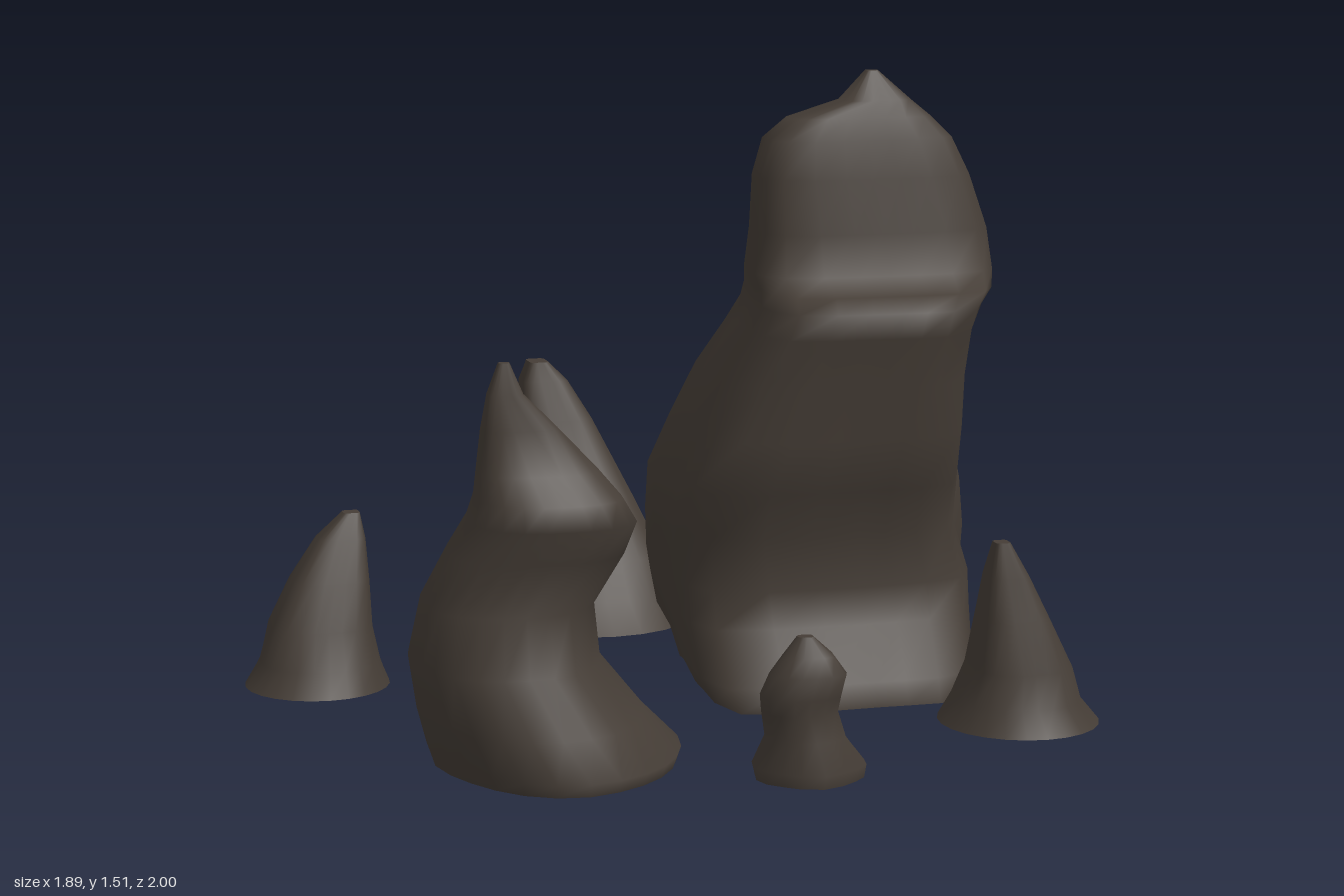
import * as THREE from 'three';

const stone = new THREE.MeshStandardMaterial({ color: 0x453d36 });
stone.name = 'dark stone';

// Lofts a rock through rings [y, xMin, xMax, zMin, zMax, cut].
// cut slants the right side inwards towards the front of that ring.
// square: outline power at the bottom and top (2 = oval, larger = boxier).
// rough: strength of the ridges; hollow: height of the dent under the base;
// lift: how far the back left corner of the base rises off the ground.
function rock(name, rings, { sides = 24, square = [2, 2], rough = 0, seed = 0, hollow = 0, lift = 0 } = {}) {
  const pos = [], index = [];
  const bottom = rings[0][0], height = rings[rings.length - 1][0] - bottom;
  const addRing = ([y, x0, x1, z0, z1, cut = 0]) => {
    const start = pos.length / 3;
    const power = THREE.MathUtils.lerp(square[0], square[1], (y - bottom) / height);
    const fade = Math.max(0, 1 - (y - bottom) / 0.35);
    for (let i = 0; i < sides; i++) {
      const t = (i / sides) * Math.PI * 2;
      const c = Math.cos(t), s = Math.sin(t);
      const round = Math.pow(Math.abs(c) ** power + Math.abs(s) ** power, -1 / power);
      const ridge = 1 + rough * (Math.sin(3 * t + 5 * y + seed) + 0.7 * Math.sin(5 * t - 8 * y + seed * 2));
      const r = round * ridge;
      const slant = c > 0 ? 1 - cut * (s * r + 1) / 2 : 1;
      const raise = lift * fade * 2 * Math.max(0, -c) * Math.max(0, -s);
      pos.push((x0 + x1) / 2 + c * r * slant * (x1 - x0) / 2, y + raise, (z0 + z1) / 2 + s * r * (z1 - z0) / 2);
    }
    return start;
  };
  const addCap = (ring, up) => {
    const start = addRing(ring);
    const centre = pos.length / 3;
    pos.push((ring[1] + ring[2]) / 2, ring[0] + (up ? 0 : hollow), (ring[3] + ring[4]) / 2);
    for (let i = 0; i < sides; i++) {
      const a = start + i, b = start + (i + 1) % sides;
      index.push(centre, up ? b : a, up ? a : b);
    }
  };
  const starts = rings.map(addRing);
  for (let j = 0; j + 1 < rings.length; j++) {
    for (let i = 0; i < sides; i++) {
      const k = (i + 1) % sides;
      const a = starts[j] + i, b = starts[j] + k, c = starts[j + 1] + i, d = starts[j + 1] + k;
      index.push(a, c, b, b, c, d);
    }
  }
  addCap(rings[0], false);
  addCap(rings[rings.length - 1], true);
  const geo = new THREE.BufferGeometry();
  geo.setAttribute('position', new THREE.Float32BufferAttribute(pos, 3));
  geo.setIndex(index);
  geo.computeVertexNormals();
  const mesh = new THREE.Mesh(geo, stone);
  mesh.name = name;
  return mesh;
}

export function createModel() {
  const group = new THREE.Group();
  group.name = 'rock spires';

  // Large rock: broad body, ledge, then a narrower spire
  group.add(rock('largeRock', [
    [0, 0.13, 0.87, -0.34, 0.37, 0.28],
    [0.06, 0.10, 0.88, -0.36, 0.36, 0.28],
    [0.18, 0.09, 0.91, -0.37, 0.26, 0.3],
    [0.27, 0.08, 0.91, -0.37, 0.245, 0.3],
    [0.40, 0.07, 0.88, -0.34, 0.25, 0.35],
    [0.52, 0.07, 0.87, -0.32, 0.31, 0.35],
    [0.65, 0.12, 0.86, -0.29, 0.35, 0.35],
    [0.78, 0.17, 0.84, -0.24, 0.36, 0.32],
    [0.90, 0.23, 0.81, -0.18, 0.40, 0.25],
    [0.96, 0.25, 0.82, -0.13, 0.40, 0.22],
    [0.995, 0.255, 0.84, -0.11, 0.36, 0.15],
    [1.03, 0.255, 0.845, -0.09, 0.26, 0.05],
    [1.13, 0.26, 0.82, -0.06, 0.24],
    [1.26, 0.26, 0.78, -0.02, 0.22],
    [1.35, 0.28, 0.74, 0.02, 0.20],
    [1.40, 0.34, 0.69, 0.04, 0.18],
    [1.44, 0.47, 0.64, 0.06, 0.165],
    [1.51, 0.53, 0.56, 0.10, 0.125],
  ], { square: [7, 3.5], rough: 0.014, seed: 1, hollow: 0.14, lift: 0.13 }));

  // Pointed slab leaning on the back of the large rock
  group.add(rock('backSlab', [
    [0.01, 0.16, 0.87, -0.365, -0.05, 0.1],
    [0.18, 0.11, 0.91, -0.385, -0.04, 0.12],
    [0.33, 0.11, 0.92, -0.41, -0.04, 0.12],
    [0.45, 0.15, 0.91, -0.425, -0.04, 0.12],
    [0.60, 0.21, 0.88, -0.425, -0.06, 0.1],
    [0.78, 0.31, 0.83, -0.425, -0.10, 0.05],
    [0.91, 0.41, 0.75, -0.425, -0.19],
    [1.02, 0.49, 0.68, -0.425, -0.31],
    [1.11, 0.55, 0.61, -0.415, -0.39],
  ], { square: [5, 3], rough: 0.01, seed: 4, hollow: 0.18, lift: 0.13 }));

  // Medium rock with a flared foot, shoulder and thin peak
  group.add(rock('mediumRock', [
    [0, -0.64, -0.08, 0.25, 0.92],
    [0.03, -0.65, -0.07, 0.235, 0.93],
    [0.12, -0.67, -0.16, 0.28, 0.90],
    [0.25, -0.69, -0.265, 0.35, 0.84],
    [0.38, -0.665, -0.28, 0.41, 0.79],
    [0.50, -0.61, -0.22, 0.45, 0.81],
    [0.58, -0.57, -0.205, 0.48, 0.85],
    [0.635, -0.56, -0.24, 0.53, 0.84],
    [0.69, -0.555, -0.285, 0.58, 0.77],
    [0.79, -0.55, -0.38, 0.64, 0.745],
    [0.87, -0.54, -0.46, 0.68, 0.735],
    [0.94, -0.515, -0.49, 0.70, 0.72],
  ], { square: [1.8, 3.6], rough: 0.014, seed: 2 }));

  // Cone-shaped spires with leaning, squared-off tips
  const cone = { square: [2, 6] };
  group.add(rock('tallCone', [
    [0.015, -0.24, 0.335, -1.0, -0.42],
    [0.09, -0.19, 0.28, -0.94, -0.50],
    [0.18, -0.15, 0.24, -0.90, -0.55],
    [0.33, -0.12, 0.17, -0.87, -0.65],
    [0.53, -0.115, 0.07, -0.86, -0.72],
    [0.63, -0.11, 0.01, -0.85, -0.755],
    [0.68, -0.09, -0.04, -0.84, -0.77],
  ], cone));
  group.add(rock('leftCone', [
    [0.01, -0.95, -0.595, -0.36, 0.0],
    [0.07, -0.91, -0.62, -0.33, -0.04],
    [0.16, -0.885, -0.64, -0.30, -0.07],
    [0.27, -0.83, -0.645, -0.27, -0.11],
    [0.37, -0.765, -0.65, -0.24, -0.15],
    [0.43, -0.70, -0.66, -0.22, -0.18],
  ], cone));
  group.add(rock('rightCone', [
    [0.02, 0.565, 0.945, 0.42, 0.81],
    [0.08, 0.60, 0.89, 0.48, 0.77],
    [0.16, 0.63, 0.86, 0.52, 0.755],
    [0.28, 0.645, 0.80, 0.57, 0.725],
    [0.38, 0.655, 0.75, 0.61, 0.705],
    [0.46, 0.67, 0.705, 0.645, 0.685],
  ], cone));

  // Two matching small knobbly rocks
  for (const [name, x, z] of [['smallFrontRock', 0, 0], ['smallBackRock', -0.39, -1.08]]) {
    const small = rock(name, [
      [0, 0.03, 0.28, 0.78, 0.99],
      [0.03, 0.025, 0.285, 0.77, 0.995],
      [0.10, 0.05, 0.23, 0.82, 0.98],
      [0.16, 0.04, 0.21, 0.84, 0.975],
      [0.20, 0.035, 0.215, 0.85, 0.985],
      [0.25, 0.055, 0.225, 0.865, 0.985],
      [0.29, 0.08, 0.195, 0.89, 0.965],
      [0.335, 0.11, 0.145, 0.915, 0.945],
    ], { sides: 16, square: [2, 3], rough: 0.045, seed: 3 });
    small.position.set(x, 0, z);
    group.add(small);
  }
  return group;
}
